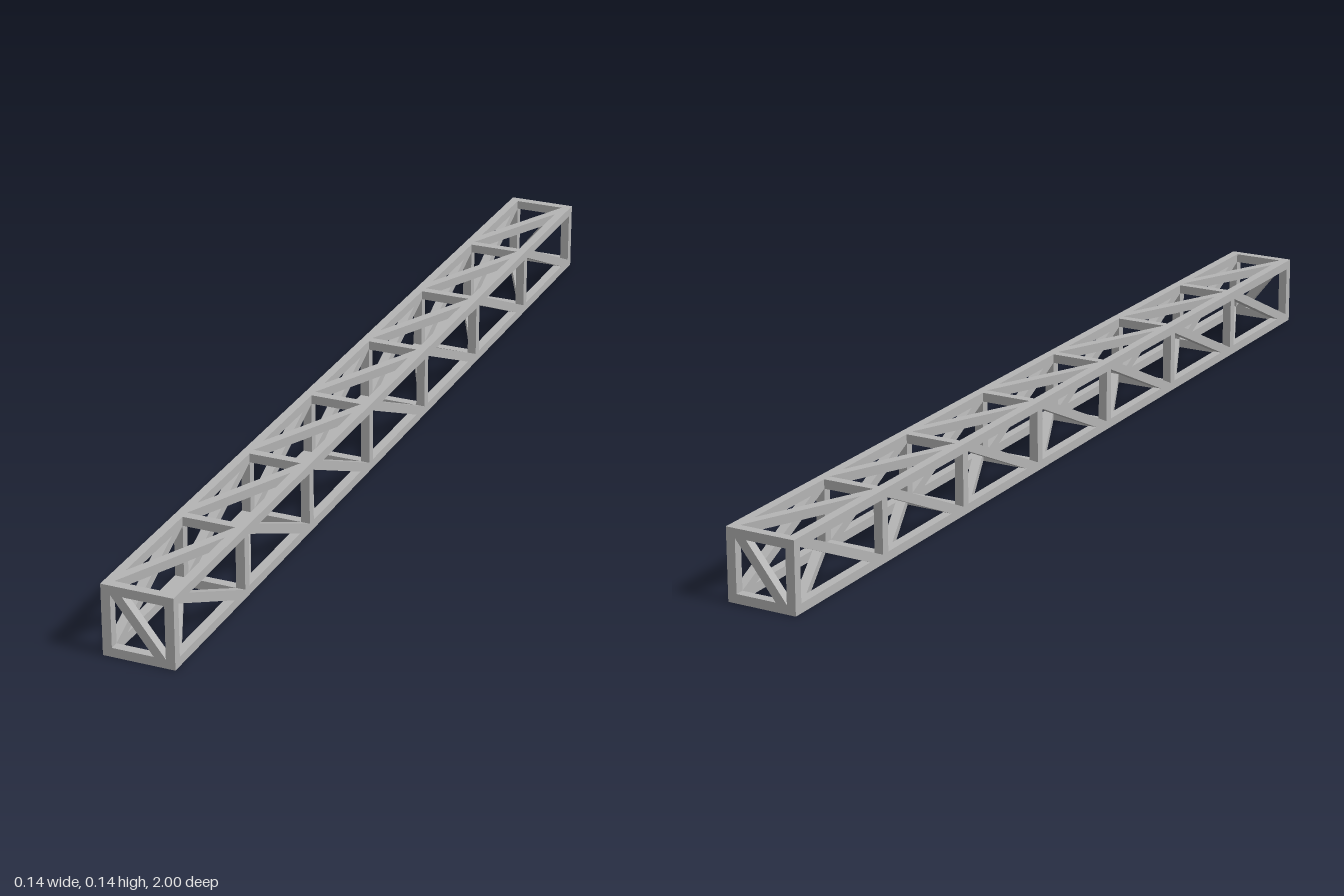
import * as THREE from 'three';

export function createModel() {
  const steel = new THREE.MeshStandardMaterial({ color: 0xb4b4b4 });
  steel.name = 'steel grey';
  const model = new THREE.Group();
  model.name = 'boxTruss';

  const S = 0.14, T = 0.018, L = 2, BAYS = 7;
  const c = S / 2 - T / 2;      // chord centre offset from the axis
  const h = S / 2 - T;          // half of the clear opening
  const pitch = (L - T) / BAYS; // spacing of the cross frames
  const firstZ = -L / 2 + T / 2;

  const body = new THREE.Group();
  body.name = 'trussBody';
  body.position.y = S / 2;
  model.add(body);

  function add(name, geometry, x, y, z, parent = body) {
    const m = new THREE.Mesh(geometry, steel);
    m.name = name;
    m.position.set(x, y, z);
    parent.add(m);
    return m;
  }

  // slanted bar fitted corner to corner in an opening, its ends cut flush with the long edges
  function braceGeometry(halfLength, foot) {
    const b = halfLength;
    const shape = new THREE.Shape([
      new THREE.Vector2(-b, -h), new THREE.Vector2(-b + foot, -h),
      new THREE.Vector2(b, h), new THREE.Vector2(b - foot, h),
    ]);
    return new THREE.ExtrudeGeometry(shape, { depth: T, bevelEnabled: false }).translate(0, 0, -T / 2);
  }

  // four long chords
  const chord = new THREE.BoxGeometry(T, T, L);
  for (const x of [-c, c]) for (const y of [-c, c]) add('chord', chord, x, y, 0);

  // square cross frames
  const post = new THREE.BoxGeometry(T, 2 * h, T);
  const crossBar = new THREE.BoxGeometry(2 * h, T, T);
  for (let i = 0; i <= BAYS; i++) {
    const z = firstZ + i * pitch;
    for (const s of [-c, c]) {
      add('post', post, s, 0, z);
      add('crossBar', crossBar, 0, s, z);
    }
  }

  // one brace per bay on each long side, winding the same way round the truss
  const sideBrace = braceGeometry((pitch - T) / 2, 0.043);
  sideBrace.applyMatrix4(new THREE.Matrix4().makeBasis(
    new THREE.Vector3(0, 0, -1), new THREE.Vector3(1, 0, 0), new THREE.Vector3(0, -1, 0)));
  for (let side = 0; side < 4; side++) {
    const face = new THREE.Group();
    face.name = 'bracedSide';
    face.rotation.z = -side * Math.PI / 2;
    body.add(face);
    for (let i = 0; i < BAYS; i++) add('sideBrace', sideBrace, 0, c, firstZ + (i + 0.5) * pitch, face);
  }

  // one brace at each end, slanting opposite ways
  const endBrace = braceGeometry(h, 0.023);
  add('frontBrace', endBrace, 0, 0, L / 2 - T / 2).rotation.x = Math.PI;
  add('backBrace', endBrace, 0, 0, -L / 2 + T / 2);

  return model;
}
